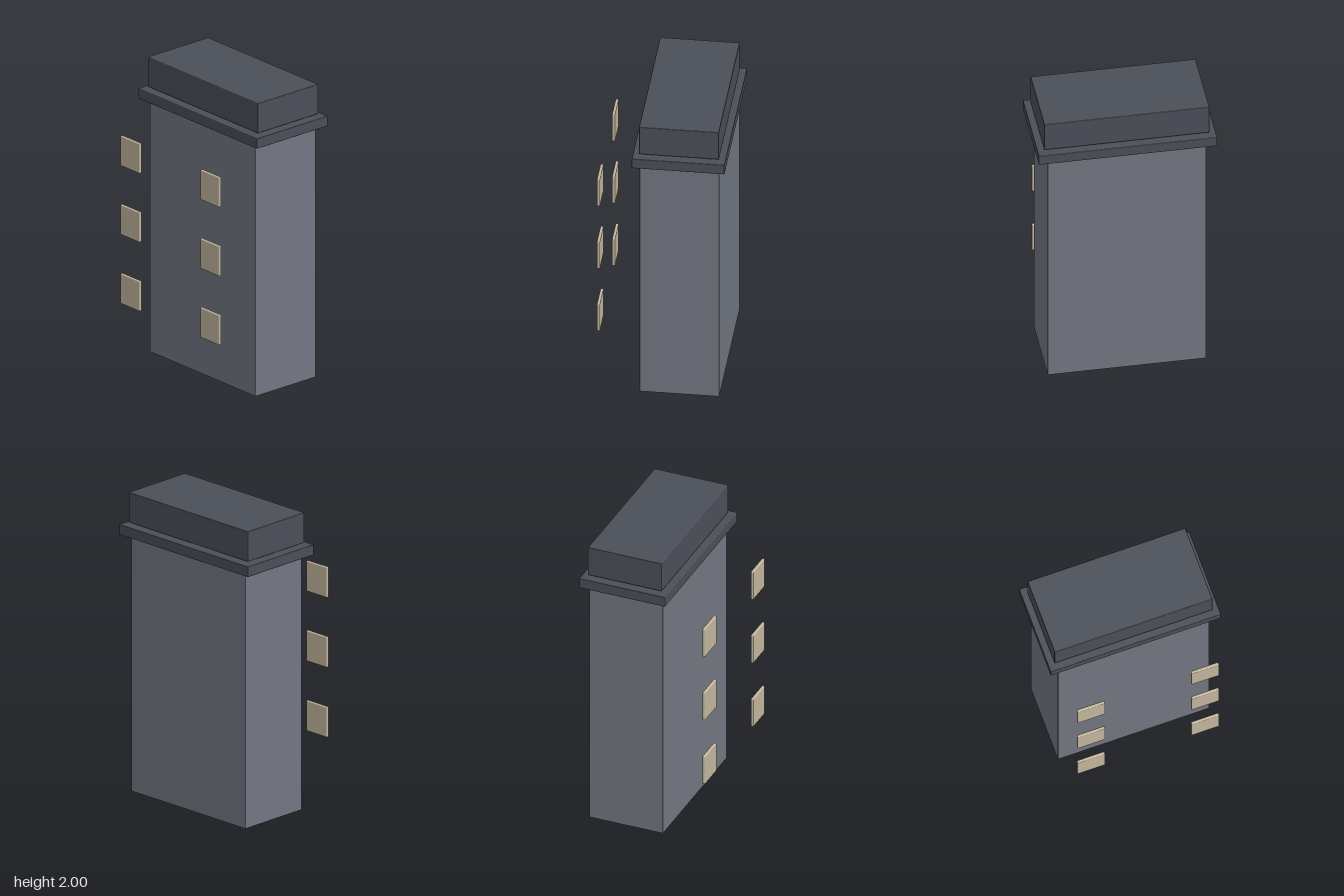
import * as THREE from 'three';
import { RoundedBoxGeometry } from 'three/addons/geometries/RoundedBoxGeometry.js';

export function createModel() {
  const model = new THREE.Group();
  model.name = 'towerBlock';

  const mat = (name, color) => {
    const m = new THREE.MeshStandardMaterial({ color });
    m.name = name;
    return m;
  };
  const wall = mat('wallGrey', 0x737782);
  const roof = mat('roofDarkGrey', 0x4b4f59);
  const pane = mat('windowCream', 0xc4b79e);

  // Box with softened edges, placed by its centre
  const block = (name, material, [w, h, d], [x, y, z], radius) => {
    const mesh = new THREE.Mesh(new RoundedBoxGeometry(w, h, d, 2, radius), material);
    mesh.name = name;
    mesh.position.set(x, y, z);
    model.add(mesh);
  };

  // Stacked storeys: wall, overhanging ledge and roof cap, with narrow gaps between
  const z = -0.117;
  block('body', wall, [1.016, 1.7, 0.508], [0, 0.85, z], 0.005);
  block('ledge', roof, [1.144, 0.07, 0.592], [0, 1.75, z], 0.005);
  block('roofCap', roof, [1.06, 0.203, 0.508], [0, 1.8985, z], 0.005);

  // Two columns of windows standing clear of the front wall
  [0.513, 0.982, 1.45].forEach((y, row) => {
    for (const side of [-1, 1]) {
      block(`window${side > 0 ? 'Left' : 'Right'}${row + 1}`, pane,
        [0.186, 0.205, 0.02], [side * 0.383, y, 0.403], 0.007);
    }
  });

  return model;
}
